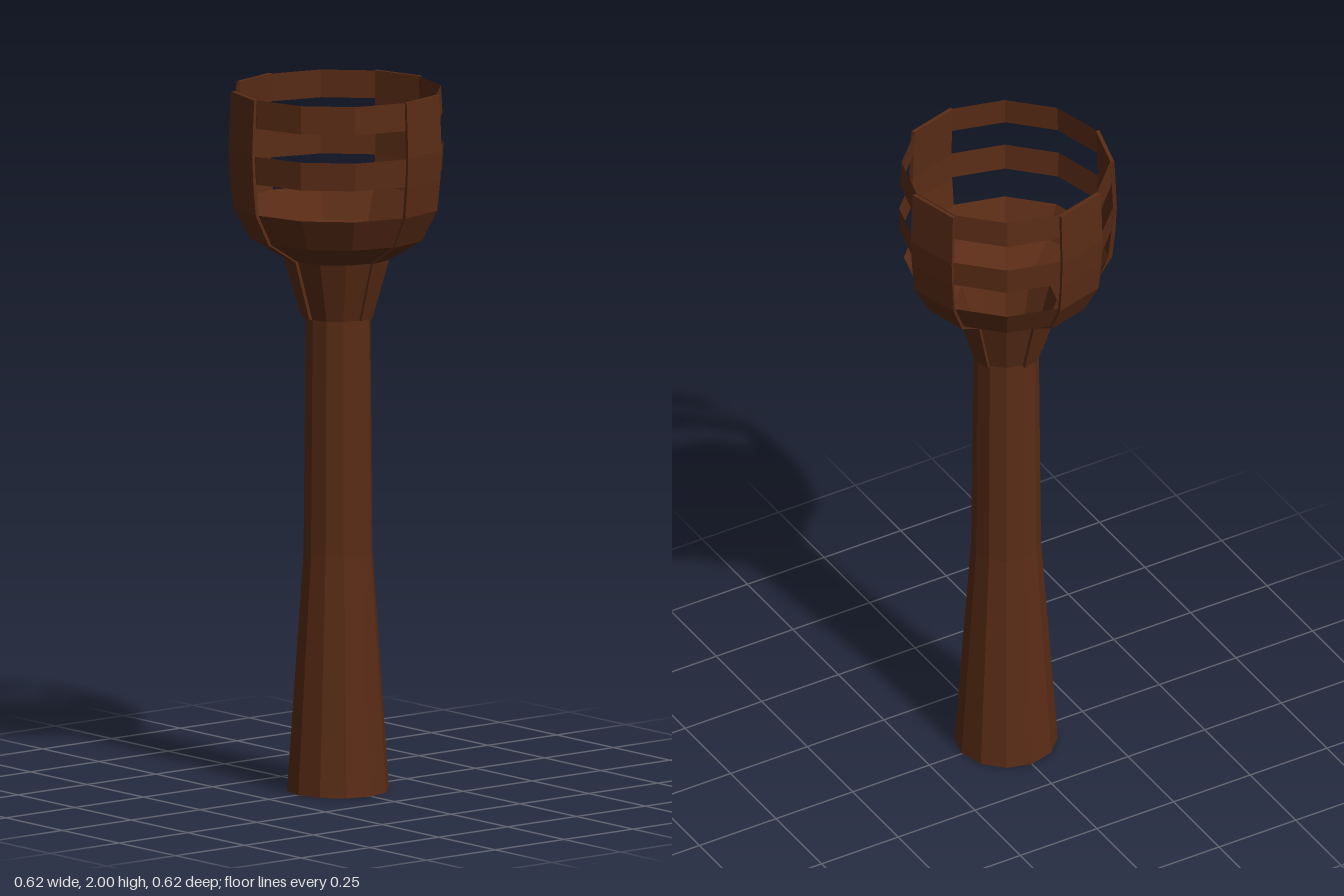
import * as THREE from 'three';

const SIDES = 12;
const STEP = (Math.PI * 2) / SIDES;
// Cup wall from the neck to the rim: [radius, height]
const WALL = [
  [0.092, 1.35], [0.143, 1.52], [0.24, 1.58], [0.287, 1.67],
  [0.296, 1.76], [0.3, 1.84], [0.297, 1.92], [0.293, 2.0],
];
const STAVE_THICKNESS = 0.011;

const lathe = (points, start = 0, length = Math.PI * 2, segments = SIDES) =>
  new THREE.LatheGeometry(points.map(([r, y]) => new THREE.Vector2(r, y)), segments, start, length);

// Flat wall closing one side of a stave, between its inner and outer profiles
function sideGeometry(angle) {
  const pos = [];
  const index = [];
  WALL.forEach(([r, y], i) => {
    for (const radius of [r, r + STAVE_THICKNESS]) {
      pos.push(radius * Math.sin(angle), y, radius * Math.cos(angle));
    }
    if (i > 0) {
      const a = 2 * (i - 1);
      index.push(a, a + 1, a + 3, a, a + 3, a + 2);
    }
  });
  const g = new THREE.BufferGeometry();
  g.setAttribute('position', new THREE.Float32BufferAttribute(pos, 3));
  g.setIndex(index);
  g.computeVertexNormals();
  return g;
}

export function createModel() {
  const wood = new THREE.MeshStandardMaterial({
    color: 0x5a2c16, flatShading: true, side: THREE.DoubleSide,
  });
  const model = new THREE.Group();
  model.name = 'torch';

  const add = (parent, name, geometry) => {
    const mesh = new THREE.Mesh(geometry, wood);
    mesh.name = name;
    parent.add(mesh);
    return mesh;
  };

  // Tapered handle, closed at both ends
  const body = new THREE.Group();
  body.name = 'body';
  body.position.set(-0.002, 0, 0.003);
  model.add(body);
  add(body, 'handle', lathe([[0, 0], [0.145, 0], [0.098, 0.68], [0.092, 1.35], [0, 1.35]]));

  // Flared bowl and the two open hoops above it
  add(body, 'bowl', lathe(WALL.slice(0, 4)));
  add(body, 'middleHoop', lathe(WALL.slice(4, 6)));
  add(body, 'rimHoop', lathe(WALL.slice(6, 8)));

  // Four upright staves, each covering one facet of the cup
  const outer = WALL.map(([r, y]) => [r + STAVE_THICKNESS, y]);
  const closedProfile = [...outer, ...[...WALL].reverse(), outer[0]];
  const staves = { frontStave: 0, leftStave: 3, backStave: 6, rightStave: 8 };
  for (const [name, facet] of Object.entries(staves)) {
    const stave = new THREE.Group();
    stave.name = name;
    const start = facet * STEP;
    add(stave, 'slat', lathe(closedProfile, start, STEP, 1));
    add(stave, 'slatSideA', sideGeometry(start));
    add(stave, 'slatSideB', sideGeometry(start + STEP));
    model.add(stave);
  }
  return model;
}
